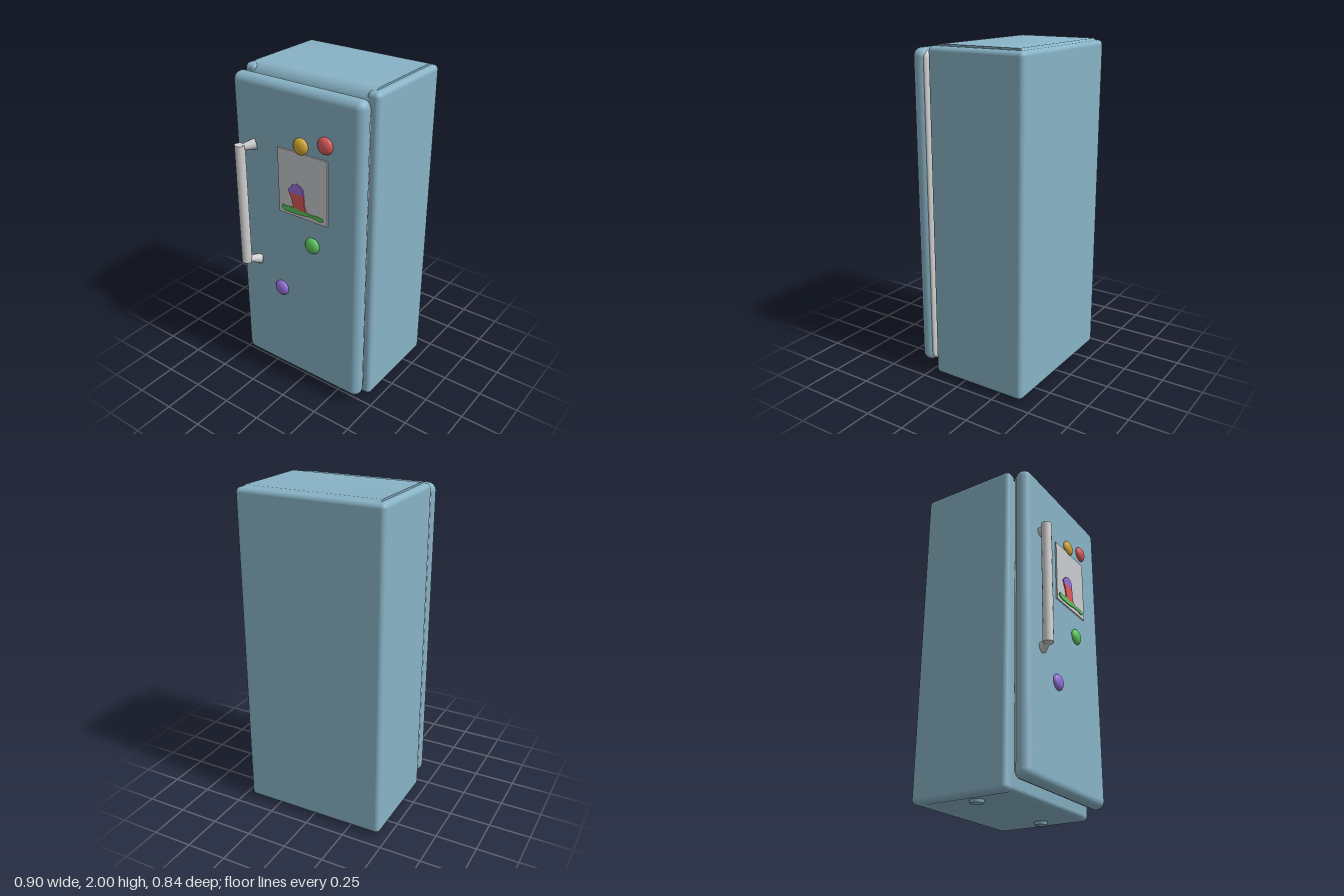
import * as THREE from 'three';
import { toCreasedNormals } from 'three/addons/utils/BufferGeometryUtils.js';
import { RoundedBoxGeometry } from 'three/addons/geometries/RoundedBoxGeometry.js';

const mat = (name, color) => {
  const m = new THREE.MeshStandardMaterial({ color });
  m.name = name;
  return m;
};

// rounded box given by its min and max corners
function slab(a, b, r) {
  const s = a.map((v, i) => b[i] - v);
  const g = new RoundedBoxGeometry(s[0], s[1], s[2], 5, r);
  return g.translate(...a.map((v, i) => (v + b[i]) / 2));
}

function roundedRect(w, h, r) {
  const s = new THREE.Shape();
  s.absarc(w - r, h - r, r, 0, Math.PI / 2);
  s.absarc(r - w, h - r, r, Math.PI / 2, Math.PI);
  s.absarc(r - w, r - h, r, Math.PI, Math.PI * 1.5);
  s.absarc(w - r, r - h, r, Math.PI * 1.5, Math.PI * 2);
  s.closePath();
  return s;
}

// tapered round bar between two points
function bar(p, q, r0, r1, sides) {
  const a = new THREE.Vector3(...p), d = new THREE.Vector3(...q).sub(a);
  const g = new THREE.CylinderGeometry(r1, r0, d.length(), sides);
  g.applyQuaternion(new THREE.Quaternion().setFromUnitVectors(
    new THREE.Vector3(0, 1, 0), d.clone().normalize()));
  return g.translate(...a.addScaledVector(d, 0.5).toArray());
}

export function createModel() {
  const blue = mat('enamel blue', 0x88b3c6);
  const grey = mat('light grey', 0xd2d2d2);
  const white = mat('paper', 0xc9cccf);
  const red = mat('red', 0xdc5a5c);
  const yellow = mat('yellow', 0xd6aa34);
  const green = mat('green', 0x5cc95c);
  const purple = mat('purple', 0x9370d8);

  const root = new THREE.Group();
  root.name = 'refrigerator';
  const add = (name, geo, material, parent = root) => {
    const m = new THREE.Mesh(geo, material);
    m.name = name;
    parent.add(m);
    return m;
  };

  // cabinet: side profile with a round front top edge, between side and back panels
  const cabinet = new THREE.Group();
  cabinet.name = 'cabinet';
  root.add(cabinet);
  const p = new THREE.Shape();
  p.moveTo(-0.4, 0.018);
  p.lineTo(0.165, 0.018);
  p.absarc(0.165, 0.048, 0.03, -Math.PI / 2, 0);
  p.absarc(0.12, 1.925, 0.075, 0, Math.PI / 2);
  p.lineTo(-0.37, 2);
  p.lineTo(-0.4, 1.98);
  p.closePath();
  const core = new THREE.ExtrudeGeometry(p, { depth: 0.82, bevelEnabled: false, curveSegments: 8 });
  core.translate(0, 0, -0.41).rotateY(-Math.PI / 2);
  add('cabinetCore', toCreasedNormals(core, 0.6), blue, cabinet);
  for (const s of [-1, 1]) {
    const x0 = s < 0 ? -0.45 : 0.37;
    add(s < 0 ? 'rightPanel' : 'leftPanel',
      slab([x0, 0.015, -0.42], [x0 + 0.08, 1.99, 0.195], 0.028), blue, cabinet);
  }
  add('backPanel', slab([-0.45, 0.015, -0.42], [0.45, 1.99, -0.34], 0.028), blue, cabinet);

  // feet
  for (const s of [-1, 1]) {
    const foot = new THREE.CylinderGeometry(0.042, 0.036, 0.024, 20);
    add('foot', foot.translate(s * 0.33, 0.012, -0.065), blue);
  }

  // door with pale inner lining
  const door = new THREE.Group();
  door.name = 'door';
  root.add(door);
  add('doorShell', slab([-0.44, 0.065, 0.222], [0.44, 1.975, 0.32], 0.048), blue, door);
  const lining = new THREE.ExtrudeGeometry(roundedRect(0.408, 0.923, 0.03), {
    depth: 0.003, bevelThickness: 0.014, bevelSize: 0.02, bevelSegments: 3, curveSegments: 6,
  });
  // only the rear bevel shows, the front one lies inside the door
  add('doorLining', toCreasedNormals(lining.translate(0, 1.02, 0.233), 0.6), grey, door);

  // handle: upright bar on two flared, slanted mounts
  const handle = new THREE.Group();
  handle.name = 'handle';
  door.add(handle);
  add('handleBar', bar([-0.339, 0.818, 0.389], [-0.339, 1.586, 0.389], 0.031, 0.031, 12), grey, handle);
  for (const [y0, y1] of [[0.836, 0.822], [1.568, 1.582]]) {
    add('handleMount', bar([-0.335, y0, 0.385], [-0.285, y1, 0.315], 0.018, 0.032, 12), grey, handle);
  }

  // paper with a simple picture
  const paper = new THREE.BoxGeometry(0.34, 0.395, 0.009);
  add('paper', paper.translate(0.055, 1.4125, 0.324), white, door);
  const patch = (name, pts, material) => {
    const s = new THREE.Shape(pts.map(([x, y]) => new THREE.Vector2(x, y)));
    const g = new THREE.ExtrudeGeometry(s, { depth: 0.006, bevelEnabled: false });
    add(name, g.translate(0, 0, 0.328), material, door);
  };
  patch('paintedTower', [[-0.005, 1.262], [0.08, 1.262], [0.07, 1.3], [0.066, 1.36],
    [-0.038, 1.36], [-0.02, 1.32]], red);
  patch('paintedRoof', [[-0.035, 1.36], [0.066, 1.36], [0.062, 1.395], [0.045, 1.412], [0.02, 1.422],
    [-0.013, 1.41], [-0.028, 1.39], [-0.046, 1.375]], purple);
  patch('paintedGrass', [[-0.092, 1.245], [-0.07, 1.234], [0, 1.232], [0.06, 1.236], [0.1, 1.242],
    [0.15, 1.24], [0.175, 1.234], [0.198, 1.242], [0.195, 1.256], [0.16, 1.262], [0.11, 1.258],
    [0.07, 1.268], [-0.01, 1.27], [-0.06, 1.263], [-0.085, 1.268], [-0.093, 1.258]], green);

  // button magnets
  for (const [x, y, m] of [[0.045, 1.65, yellow], [0.21, 1.695, red], [0.115, 1.055, green], [-0.122, 0.675, purple]]) {
    const g = new THREE.SphereGeometry(0.049, 24, 16).scale(1, 1, 0.53);
    add('magnet', g.translate(x, y, 0.322), m, door);
  }
  return root;
}
